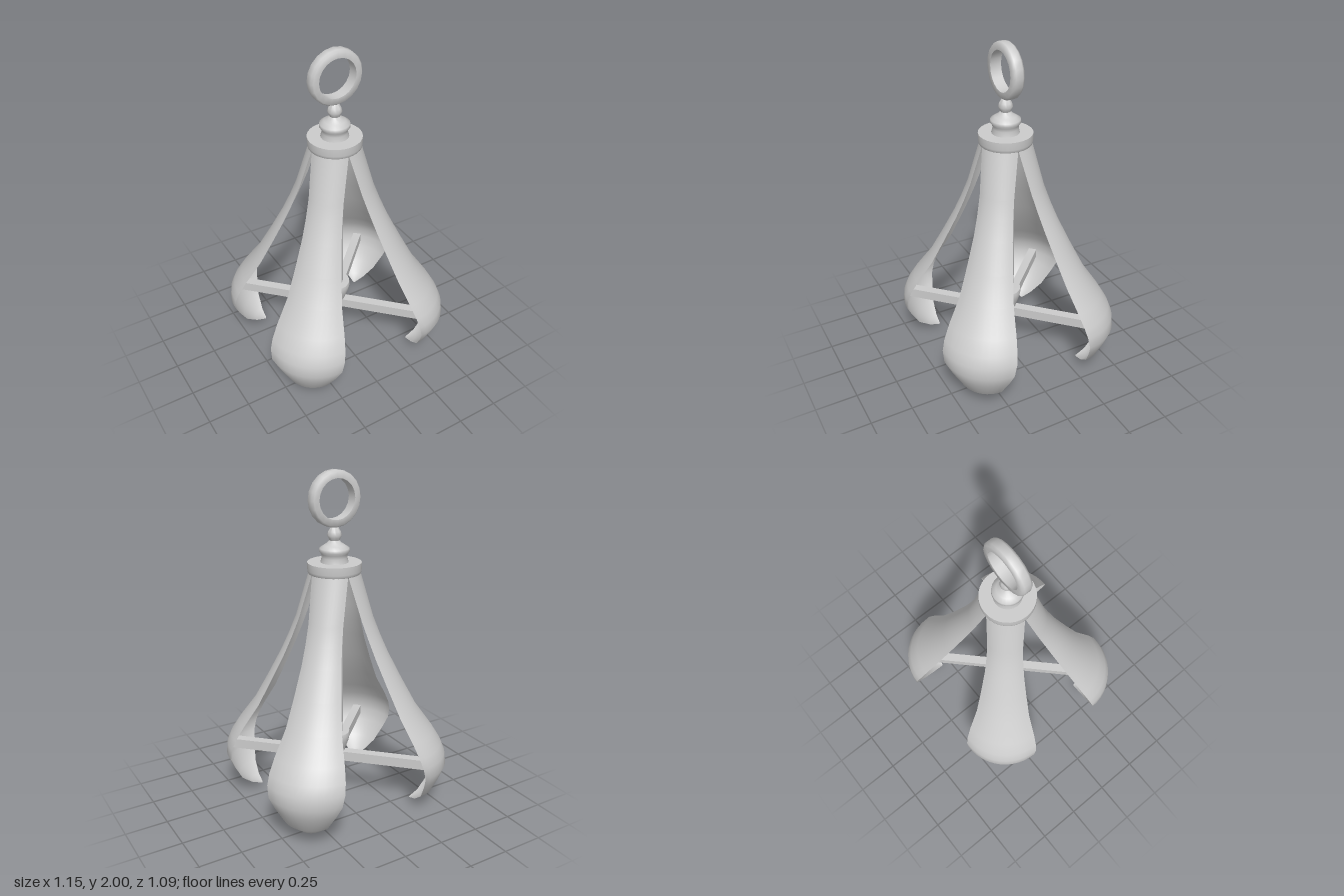
import * as THREE from 'three';
import { toCreasedNormals } from 'three/addons/utils/BufferGeometryUtils.js';

const material = new THREE.MeshStandardMaterial({ color: 0xcccccc });
const shellMaterial = new THREE.MeshStandardMaterial({ color: 0xcccccc, side: THREE.DoubleSide });

// Bell profile quartered into the petals: [radius, height], top to bottom
const BELL = [
  [0.145, 1.44], [0.14, 1.18], [0.147, 1.07], [0.16, 0.96], [0.19, 0.8], [0.225, 0.64], [0.281, 0.5],
  [0.305, 0.42], [0.311, 0.36], [0.296, 0.29], [0.248, 0.22], [0.168, 0.12], [0.078, 0.06], [0.006, 0.035],
];

function lathe(name, profile, segments = 24) {
  const points = profile.map(([r, y]) => new THREE.Vector2(r, y));
  const mesh = new THREE.Mesh(toCreasedNormals(new THREE.LatheGeometry(points, segments), 1), material);
  mesh.name = name;
  return mesh;
}

// One quarter of the bell, its axis leaning outwards so the quarters spread apart downwards
function petal(sx, sz, columns = 12) {
  const positions = [], index = [];
  for (const [r, y] of BELL) {
    const drop = Math.max(0, 1.43 - y);
    for (let j = 0; j <= columns; j++) {
      const a = Math.PI / 2 * j / columns;
      positions.push(sx * (0.246 * drop + r * Math.cos(a)), y, sz * (0.22 * drop + r * Math.sin(a)));
    }
  }
  const row = columns + 1;
  for (let i = 0; i < BELL.length - 1; i++) {
    for (let j = 0; j < columns; j++) {
      const a = i * row + j, b = a + row, c = a + 1, d = b + 1;
      if (sx * sz > 0) index.push(a, c, b, c, d, b);
      else index.push(a, b, c, c, b, d);
    }
  }
  const geometry = new THREE.BufferGeometry();
  geometry.setAttribute('position', new THREE.Float32BufferAttribute(positions, 3));
  geometry.setIndex(index);
  geometry.computeVertexNormals();
  const mesh = new THREE.Mesh(geometry, shellMaterial);
  mesh.name = 'petal';
  return mesh;
}

export function createModel() {
  const model = new THREE.Group();
  model.name = 'petalPendant';

  // Four curved petals on the diagonals
  const petals = new THREE.Group();
  petals.name = 'petals';
  for (const sx of [1, -1]) for (const sz of [1, -1]) petals.add(petal(sx, sz));
  model.add(petals);

  // Crossed bars bracing the petals
  for (const side of [1, -1]) {
    const bar = new THREE.Mesh(new THREE.BoxGeometry(1.31, 0.06, 0.052), material);
    bar.position.y = 0.29;
    bar.rotation.y = side * Math.PI / 4;
    bar.name = 'crossBar';
    model.add(bar);
  }

  // Central rod, the cup around its foot and the pointed pin below
  model.add(lathe('centralRod', [[0, 0.42], [0.05, 0.42], [0.05, 1.44], [0, 1.44]]));
  model.add(lathe('cup', [
    [0, 0.25], [0.055, 0.25], [0.06, 0.31], [0.072, 0.35], [0.086, 0.39], [0.094, 0.43], [0.09, 0.448], [0, 0.45],
  ]));
  model.add(lathe('pin', [[0, 0], [0.028, 0.045], [0.028, 0.27], [0, 0.27]], 16));

  // Collar holding the petal tops
  model.add(lathe('collar', [
    [0, 1.425], [0.142, 1.425], [0.15, 1.435], [0.153, 1.45], [0.153, 1.493], [0, 1.493],
  ], 32));

  // Turned finial
  model.add(lathe('finial', [
    [0.08, 1.49], [0.072, 1.52], [0.075, 1.54], [0.086, 1.555], [0.084, 1.572], [0.06, 1.588], [0.042, 1.6],
    [0.028, 1.615], [0.034, 1.628], [0.041, 1.645], [0.035, 1.665], [0.021, 1.688], [0, 1.705],
  ]));

  // Flat hanging ring with a chamfered outer rim
  const ring = lathe('hangingRing', [
    [0.113, -0.033], [0.146, -0.033], [0.156, -0.02], [0.156, 0.02], [0.146, 0.033],
    [0.113, 0.033], [0.113, -0.033],
  ], 20);
  ring.rotation.x = Math.PI / 2;
  ring.position.y = 1.844;
  model.add(ring);

  return model;
}
